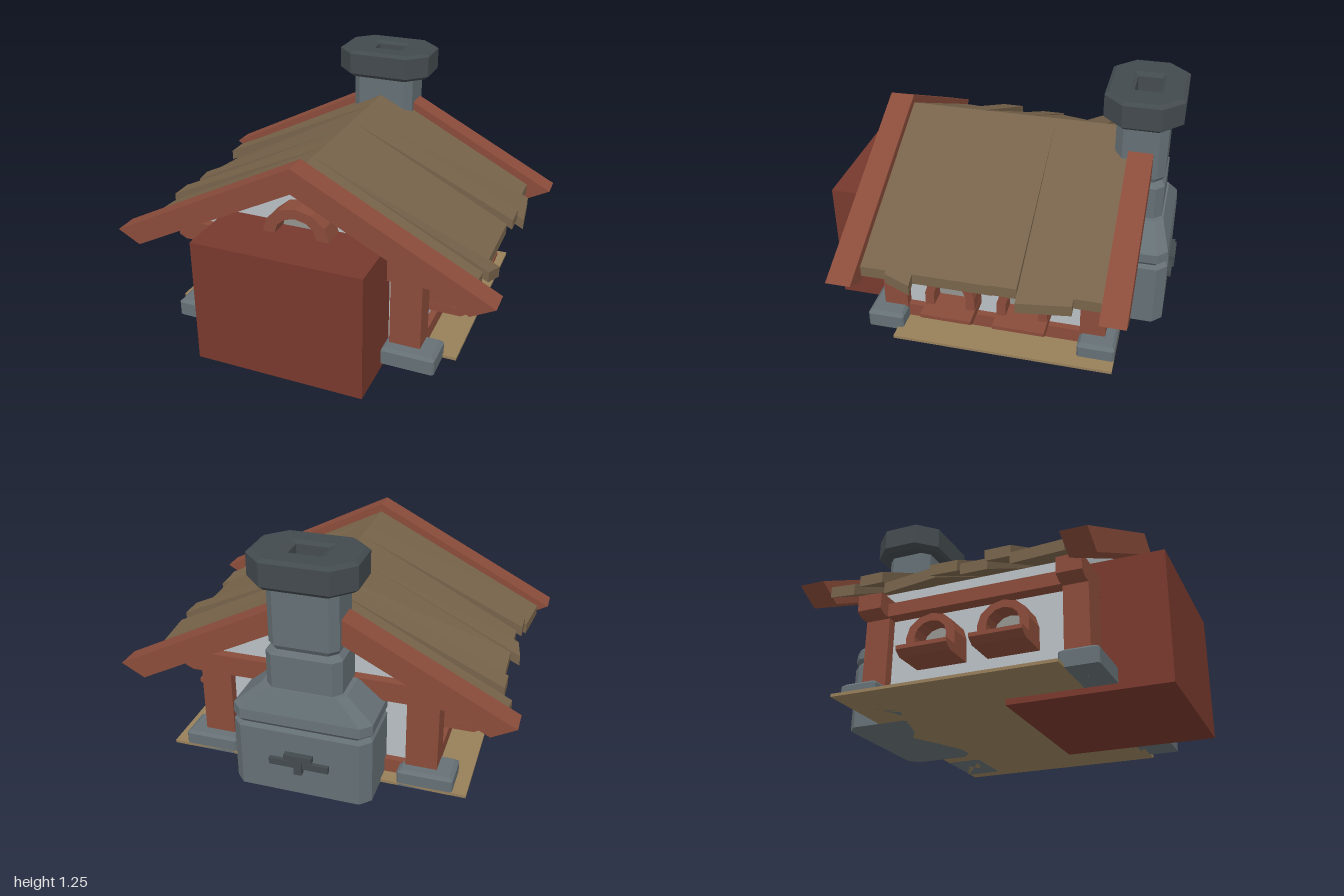
import * as THREE from 'three';

const mat = (color) => new THREE.MeshStandardMaterial({ color, flatShading: true });
const wood = mat(0x8a4c3a), doorWood = mat(0x78392d), roofWood = mat(0x77634a), floorWood = mat(0x97805a);
const stone = mat(0x657075), darkStone = mat(0x434a4e), plaster = mat(0xb9bfc4), glass = mat(0x93938f);

function add(parent, name, geometry, material) {
  const mesh = new THREE.Mesh(geometry, material);
  mesh.name = name;
  parent.add(mesh);
  return mesh;
}

// Box given by its limits on each axis
function box(parent, name, material, [x0, x1], [y0, y1], [z0, z1]) {
  const g = new THREE.BoxGeometry(x1 - x0, y1 - y0, z1 - z0);
  g.translate((x0 + x1) / 2, (y0 + y1) / 2, (z0 + z1) / 2);
  return add(parent, name, g, material);
}

// Polygon in the xy plane, extruded from z0 to z1
function prism(points, z0, z1) {
  const shape = new THREE.Shape(points.map(([x, y]) => new THREE.Vector2(x, y)));
  return new THREE.ExtrudeGeometry(shape, { depth: z1 - z0, bevelEnabled: false }).translate(0, 0, z0);
}

// Stack of chamfered rectangles: levels are [y, halfX, halfZ, chamfer]
function loft(levels) {
  const pos = [], index = [];
  for (const [y, a, b, c] of levels) {
    const ring = [[a, c - b], [a, b - c], [a - c, b], [c - a, b], [-a, b - c], [-a, c - b], [c - a, -b], [a - c, -b]];
    for (const [x, z] of ring) pos.push(x, y, z);
  }
  for (let i = 0; i < levels.length - 1; i++) {
    for (let j = 0; j < 8; j++) {
      const p = i * 8 + j, q = i * 8 + (j + 1) % 8;
      index.push(p, p + 8, q + 8, p, q + 8, q);
    }
  }
  const g = new THREE.BufferGeometry();
  g.setAttribute('position', new THREE.Float32BufferAttribute(pos, 3));
  g.setIndex(index);
  const flat = g.toNonIndexed();
  flat.computeVertexNormals();
  return flat;
}

// Round-headed outline standing on y = 0
function arch(Type, half, height) {
  const pts = [new THREE.Vector2(-half, 0), new THREE.Vector2(half, 0)];
  const spring = height - half * 0.85;
  for (let i = 0; i <= 6; i++) {
    const a = Math.PI * i / 6;
    pts.push(new THREE.Vector2(half * Math.cos(a), spring + half * 0.85 * Math.sin(a)));
  }
  return new Type(pts);
}

// Arched window facing +z, wall plane at z = 0
function makeWindow(name) {
  const group = new THREE.Group();
  group.name = name;
  const frame = arch(THREE.Shape, 0.128, 0.18);
  frame.holes.push(arch(THREE.Path, 0.082, 0.142));
  add(group, 'windowFrame', new THREE.ExtrudeGeometry(frame, { depth: 0.125, bevelEnabled: false }), wood);
  add(group, 'windowPane', new THREE.ExtrudeGeometry(arch(THREE.Shape, 0.085, 0.145), { depth: 0.03, bevelEnabled: false }), glass);
  const sill = prism([[0, -0.045], [0.17, -0.045], [0.21, -0.02], [0.21, 0], [0, 0]], -0.13, 0.13);
  add(group, 'windowSill', sill.rotateY(-Math.PI / 2), wood);
  return group;
}

// Roof plank on side s: z range, eave x at each edge, eave lift at each edge
function plank(s, [z0, z1, e0, e1, l0, l1]) {
  const g = new THREE.BoxGeometry(1, 1, 1);
  const p = g.attributes.position;
  for (let i = 0; i < p.count; i++) {
    const u = 0.5 + s * p.getX(i), v = p.getY(i) + 0.5, w = p.getZ(i) + 0.5;
    const x = u * (e0 + (e1 - e0) * w);
    const lift = u * (l0 + (l1 - l0) * w);
    p.setXYZ(i, s * x, 0.99 - 0.515 * x + lift - (1 - v) * 0.055, z0 + (z1 - z0) * w);
  }
  g.computeVertexNormals();
  return g;
}

export function createModel() {
  const model = new THREE.Group();
  model.name = 'cottage';

  // Floor, walls and entrance block
  box(model, 'floor', floorWood, [-0.78, 0.78], [0.03, 0.045], [-0.66, 0.47]);
  add(model, 'walls', prism([[-0.57, 0.045], [0.57, 0.045], [0.57, 0.63], [0, 0.93], [-0.57, 0.63]], -0.55, 0.52), plaster);
  box(model, 'entranceBlock', doorWood, [-0.44, 0.44], [0, 0.66], [0.08, 0.885]);

  // Corner posts on stone footings, sill beams and eave beams
  for (const s of [-1, 1]) {
    const span = (a, b) => (s > 0 ? [a, b] : [-b, -a]);
    for (const [z0, z1, zs] of [[0.44, 0.565, 0.535], [-0.6, -0.47, -0.565]]) {
      box(model, 'cornerPost', wood, span(0.46, 0.62), [0.1, 0.52], [z0, z1]);
      const foot = add(model, 'footing', loft([[0.03, 0.001, 0.001, 0], [0.03, 0.14, 0.095, 0.01],
        [0.105, 0.14, 0.095, 0.01], [0.12, 0.12, 0.08, 0.01], [0.12, 0.001, 0.001, 0]]), stone);
      foot.position.set(s * 0.57, 0, zs);
    }
    box(model, 'sideSill', wood, span(0.5, 0.605), [0.04, 0.12], [-0.5, 0.5]);
    box(model, 'eaveBeam', wood, span(0.5, 0.64), [0.47, 0.54], [-0.6, 0.565]);
  }
  box(model, 'backSill', wood, [-0.5, 0.5], [0.04, 0.12], [-0.585, -0.5]);
  for (const [z0, z1] of [[0.44, 0.565], [-0.6, -0.47]]) {
    const tie = [[-0.67, 0.47], [0.67, 0.47], [0.71, 0.49], [0.71, 0.575], [-0.71, 0.575], [-0.71, 0.49]];
    add(model, 'tieBeam', prism(tie, z0, z1), wood);
  }

  // Gable boards
  const board = [[0, 1.035], [-1, 0.52], [-0.88, 0.455], [0, 0.905], [0.88, 0.455], [1, 0.52]];
  add(model, 'frontGableBoard', prism(board, 0.565, 0.69), wood);
  add(model, 'backGableBoard', prism(board, -0.73, -0.605), wood);

  // Uneven roof planks
  const leftPlanks = [
    [-0.605, -0.47, 0.87, 0.87, 0, 0], [-0.47, -0.21, 0.905, 0.935, 0, 0.01],
    [-0.21, -0.085, 0.9, 0.9, 0.045, 0.045], [-0.085, 0.305, 0.87, 0.87, 0, 0],
    [0.305, 0.43, 0.925, 0.9, 0, 0.02], [0.43, 0.565, 0.87, 0.87, 0, 0]];
  const rightPlanks = [
    [-0.605, -0.47, 0.93, 0.94, 0.01, 0], [-0.47, -0.35, 0.9, 0.9, 0.04, 0.04],
    [-0.35, -0.085, 0.875, 0.875, -0.02, 0.01], [-0.085, 0.04, 0.925, 0.9, 0.02, 0.02],
    [0.04, 0.175, 0.87, 0.87, 0, 0], [0.175, 0.3, 0.9, 0.9, 0.04, 0.04],
    [0.3, 0.565, 0.91, 0.94, 0, 0.01]];
  for (const p of leftPlanks) add(model, 'roofPlank', plank(1, p), roofWood);
  for (const p of rightPlanks) add(model, 'roofPlank', plank(-1, p), roofWood);

  // Windows: two per side and one in the front gable
  for (const s of [-1, 1]) {
    for (const z of [0.18, -0.19]) {
      const w = makeWindow('sideWindow');
      w.position.set(s * 0.58, 0.23, z);
      w.rotation.y = s * Math.PI / 2;
      model.add(w);
    }
  }
  const gableWindow = makeWindow('gableWindow');
  gableWindow.position.set(0, 0.56, 0.52);
  gableWindow.scale.set(1.36, 1.36, 1);
  model.add(gableWindow);

  // Stove and chimney
  const chimney = new THREE.Group();
  chimney.name = 'chimney';
  chimney.position.z = -0.665;
  model.add(chimney);
  add(chimney, 'stove', loft([[0.03, 0.001, 0.001, 0], [0.03, 0.35, 0.195, 0.05], [0.37, 0.35, 0.195, 0.05],
    [0.39, 0.335, 0.18, 0.05], [0.41, 0.35, 0.195, 0.05], [0.46, 0.35, 0.19, 0.05], [0.575, 0.215, 0.145, 0.04],
    [0.575, 0.001, 0.001, 0]]), stone);
  add(chimney, 'flue', loft([[0.55, 0.19, 0.135, 0.04], [0.75, 0.19, 0.135, 0.04], [0.775, 0.165, 0.115, 0.04],
    [0.8, 0.175, 0.13, 0.04], [1.12, 0.175, 0.13, 0.04]]), stone);
  add(chimney, 'chimneyCap', loft([[1.1, 0.001, 0.001, 0], [1.1, 0.24, 0.175, 0.09], [1.12, 0.265, 0.195, 0.1],
    [1.235, 0.265, 0.195, 0.1], [1.25, 0.245, 0.175, 0.09], [1.25, 0.11, 0.08, 0.01], [1.235, 0.08, 0.06, 0.005],
    [1.14, 0.075, 0.055, 0.005], [1.14, 0.001, 0.001, 0]]), darkStone);

  // Stove door handle
  box(chimney, 'handleBar', darkStone, [-0.15, 0.15], [0.19, 0.225], [-0.215, -0.18]);
  box(chimney, 'handleTop', darkStone, [-0.07, 0.07], [0.235, 0.265], [-0.225, -0.18]);
  box(chimney, 'handlePin', darkStone, [-0.02, 0.02], [0.16, 0.24], [-0.225, -0.18]);

  return model;
}
